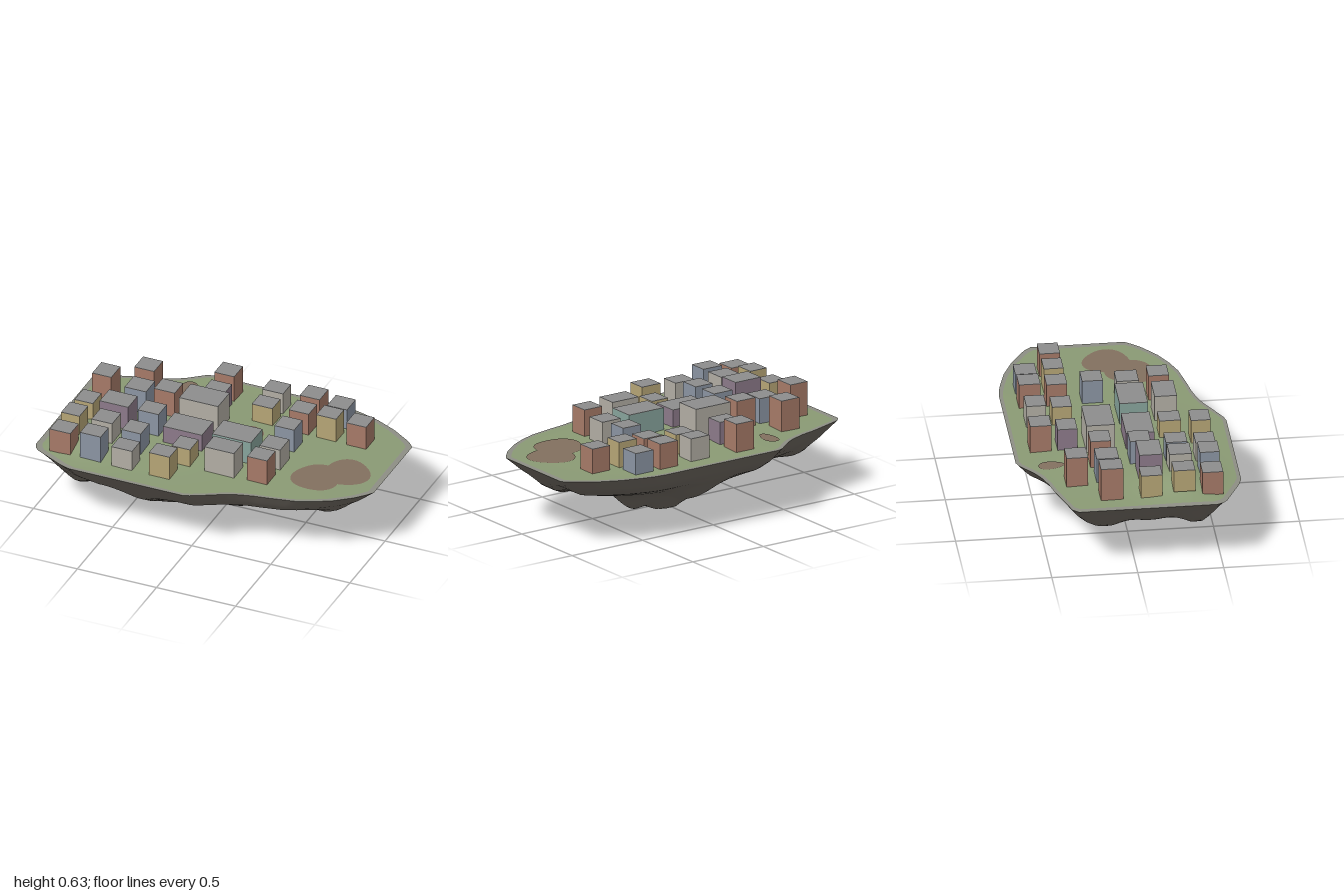
import * as THREE from 'three';

const mat = (color) => new THREE.MeshStandardMaterial({ color, roughness: 0.95 });
const COLORS = { red: 0xa67a68, khaki: 0xb6a576, blue: 0x8b95a3, grey: 0xb2aea4, purple: 0x8c7a8a, green: 0x87a49c };

// Rim of the island, clockwise seen from above (x, z)
const RIM = [
  [-0.37, -0.635], [0.43, -0.635], [0.5, -0.628], [0.58, -0.61], [0.7, -0.575], [0.83, -0.515], [0.93, -0.45],
  [0.97, -0.42], [1, -0.385], [1, 0.16], [0.97, 0.2], [0.92, 0.255], [0.82, 0.335], [0.72, 0.39], [0.62, 0.43],
  [0.46, 0.462], [0.38, 0.475], [0.3, 0.495], [0.22, 0.525], [0.14, 0.57], [0.04, 0.622],
  [0, 0.635], [-0.72, 0.635], [-0.78, 0.615], [-0.96, 0.525], [-0.985, 0.5], [-1, 0.465], [-1, -0.34],
  [-0.97, -0.375], [-0.75, -0.45], [-0.65, -0.475], [-0.56, -0.51], [-0.5, -0.545], [-0.41, -0.618]];

// Greatest depth of the rock below the rim, along x and along z
const KEEL_X = [[-1, 0], [-0.88, 0.15], [-0.76, 0.24], [-0.6, 0.24], [-0.52, 0.31], [-0.4, 0.32], [-0.28, 0.37],
  [-0.16, 0.38], [-0.03, 0.35], [0, 0.41], [0.08, 0.42], [0.2, 0.38], [0.33, 0.37], [0.47, 0.26], [0.62, 0.2],
  [0.7, 0.23], [0.82, 0.17], [1, 0]];
const KEEL_Z = [[-0.635, 0], [-0.51, 0.17], [-0.38, 0.26], [-0.28, 0.32], [-0.14, 0.4], [-0.03, 0.42], [0.03, 0.38],
  [0.1, 0.37], [0.2, 0.335], [0.3, 0.3], [0.38, 0.26], [0.46, 0.21], [0.635, 0]];
// Usual depth from the centre out to the rim
const KEEL_R = [[0, 0.38], [0.16, 0.34], [0.4, 0.25], [0.6, 0.2], [0.8, 0.14], [0.9, 0.085], [1, 0]];

// Hanging crags: x, z, added depth, spread
const CRAGS = [[0.05, -0.03, 0.07, 0.08], [0.05, -0.14, 0.05, 0.08], [0, -0.32, 0.07, 0.1], [0.3, -0.1, 0.08, 0.08],
  [0.7, 0.08, 0.07, 0.08], [0.84, -0.03, 0.05, 0.08], [-0.16, 0.1, 0.05, 0.08], [-0.28, 0.2, 0.09, 0.08],
  [-0.34, 0.4, 0.06, 0.1], [-0.52, 0.02, 0.1, 0.09], [-0.78, 0.38, 0.1, 0.09], [-0.8, -0.17, 0.09, 0.09],
  [-0.85, 0.1, 0.06, 0.1]];

function sample(profile, t) {
  for (let i = 1; i < profile.length; i++) {
    const [a, va] = profile[i - 1], [b, vb] = profile[i];
    if (t <= b) return va + (vb - va) * Math.max(0, (t - a) / (b - a));
  }
  return profile[profile.length - 1][1];
}

// Split a closed outline into pieces of roughly equal length
function subdivide(points, step) {
  const out = [];
  points.forEach(([x, z], i) => {
    const [nx, nz] = points[(i + 1) % points.length];
    const n = Math.max(1, Math.round(Math.hypot(nx - x, nz - z) / step));
    for (let k = 0; k < n; k++) out.push([x + (nx - x) * k / n, z + (nz - z) * k / n]);
  });
  return out;
}

// Surface of shrinking rings inside an outline, with a height rule
function ringSurface(outline, [cx, cz], u0, u1, rings, height, down = false) {
  const pos = [], index = [], n = outline.length;
  for (let i = 0; i <= rings; i++) {
    const u = u0 + (u1 - u0) * i / rings;
    for (const [ox, oz] of outline) {
      const x = cx + (ox - cx) * u, z = cz + (oz - cz) * u;
      pos.push(x, height(x, z, u), z);
    }
  }
  for (let i = 0; i < rings; i++) for (let j = 0; j < n; j++) {
    const a = i * n + j, b = i * n + (j + 1) % n, c = a + n, d = b + n;
    if (down) index.push(a, c, d, a, d, b);
    else index.push(a, d, c, a, b, d);
  }
  const g = new THREE.BufferGeometry();
  g.setAttribute('position', new THREE.Float32BufferAttribute(pos, 3));
  g.setIndex(index);
  g.computeVertexNormals();
  return g;
}

const bump = (x, z, cx, cz, sx, sz) => Math.exp(-(((x - cx) / sx) ** 2 + ((z - cz) / sz) ** 2) / 2);

// Ground with a low hill on one side, flat at the rim
const ground = (x, z, u = 0) => 0.42 + (1 - u ** 8) *
  (0.072 * bump(x, z, -0.73, 0.27, 0.14, 0.14) + 0.025 * bump(x, z, -0.25, 0, 0.38, 0.28));

// Rock sloping in from the rim, with crags below
const keel = (x, z, u) => {
  let depth = sample(KEEL_R, u);
  for (const [cx, cz, d, s] of CRAGS) depth += (1 - u ** 8) * d * bump(x, z, cx, cz, s, s);
  return 0.42 - Math.min(depth, sample(KEEL_X, x), sample(KEEL_Z, z));
};

// x, z, top height, colour, width, depth
const BUILDINGS = [
  [-0.2, -0.475, 0.595, 'red'], [0.108, -0.465, 0.56, 'grey', 0.13, 0.115], [0.34, -0.475, 0.575, 'red'],
  [0.513, -0.475, 0.55, 'blue'],
  [-0.635, -0.315, 0.612, 'red'], [-0.2, -0.32, 0.565, 'purple', 0.13, 0.115], [0.108, -0.315, 0.545, 'khaki', 0.13, 0.115],
  [0.34, -0.317, 0.565, 'red', 0.125, 0.12], [0.513, -0.315, 0.575, 'khaki', 0.125, 0.115], [0.704, -0.315, 0.57, 'red', 0.125, 0.12],
  [-0.822, -0.135, 0.628, 'red', 0.12, 0.13], [-0.61, -0.135, 0.585, 'blue', 0.135, 0.13],
  [-0.437, -0.155, 0.605, 'red', 0.13, 0.12], [-0.202, -0.135, 0.612, 'grey', 0.245, 0.165],
  [0.34, -0.11, 0.575, 'blue', 0.125, 0.12],
  [-0.835, 0.095, 0.575, 'khaki', 0.115, 0.125], [-0.635, 0.11, 0.62, 'purple', 0.18, 0.135],
  [-0.437, 0.075, 0.59, 'blue', 0.13, 0.12], [-0.202, 0.095, 0.548, 'purple', 0.245, 0.165],
  [0.108, 0.095, 0.575, 'green', 0.245, 0.165], [0.343, 0.095, 0.56, 'grey', 0.13, 0.13],
  [-0.835, 0.285, 0.597, 'khaki', 0.115, 0.125], [-0.635, 0.285, 0.6, 'grey', 0.13, 0.13],
  [-0.45, 0.285, 0.575, 'blue', 0.12, 0.125], [-0.137, 0.285, 0.545, 'khaki', 0.115, 0.125],
  [0.108, 0.285, 0.592, 'grey', 0.185, 0.13], [0.34, 0.275, 0.585, 'red', 0.125, 0.12],
  [-0.828, 0.45, 0.575, 'red', 0.13, 0.12], [-0.635, 0.455, 0.602, 'blue', 0.13, 0.115],
  [-0.437, 0.455, 0.555, 'grey', 0.13, 0.115], [-0.2, 0.455, 0.575, 'khaki', 0.13, 0.115]];

// Bare earth: centre x, z, radii
const PATCHES = [[0.63, 0.15, 0.14, 0.14], [0.77, 0.03, 0.14, 0.14], [0.1, -0.12, 0.07, 0.08], [-0.44, -0.44, 0.045, 0.075]];

export function createModel() {
  const model = new THREE.Group();
  const add = (parent, name, geometry, material) => {
    const m = new THREE.Mesh(geometry, material);
    m.name = name;
    parent.add(m);
    return m;
  };

  // Island
  const rim = subdivide(RIM, 0.03);
  add(model, 'rock', ringSurface(rim, [0, 0], 0, 1, 36, keel, true), mat(0x6d675f));
  add(model, 'grass', ringSurface(rim, [0, 0], 0, 0.965, 24, ground), mat(0x8a9a74));
  add(model, 'rimBand', ringSurface(rim, [0, 0], 0.965, 1, 2, ground), mat(0x8d8e84));

  // Earth patches follow the ground
  const earth = mat(0x82705f);
  PATCHES.forEach(([x, z, rx, rz], k) => {
    const outline = Array.from({ length: 32 }, (_, i) => {
      const a = i / 32 * Math.PI * 2, r = 1 + 0.06 * Math.sin(3 * a + k);
      return [x + rx * r * Math.cos(a), z + rz * r * Math.sin(a)];
    });
    add(model, 'earthPatch', ringSurface(outline, [x, z], 0, 1, 6, (px, pz) => ground(px, pz) + 0.003 + k * 0.0005), earth);
  });

  // Town blocks: coloured walls under flat grey roofs
  const walls = {};
  for (const key in COLORS) walls[key] = mat(COLORS[key]);
  const roofMat = mat(0x8d8d8d), roofH = 0.003;
  for (const [x, z, top, color, w = 0.125, d = 0.125] of BUILDINGS) {
    const building = new THREE.Group();
    building.name = 'building';
    const base = ground(x, z) - 0.02, h = top - roofH - base;
    add(building, 'walls', new THREE.BoxGeometry(w, h, d), walls[color]).position.y = base + h / 2;
    add(building, 'roof', new THREE.BoxGeometry(w, roofH, d), roofMat).position.y = top - roofH / 2;
    building.position.set(x, 0, z);
    model.add(building);
  }
  return model;
}
